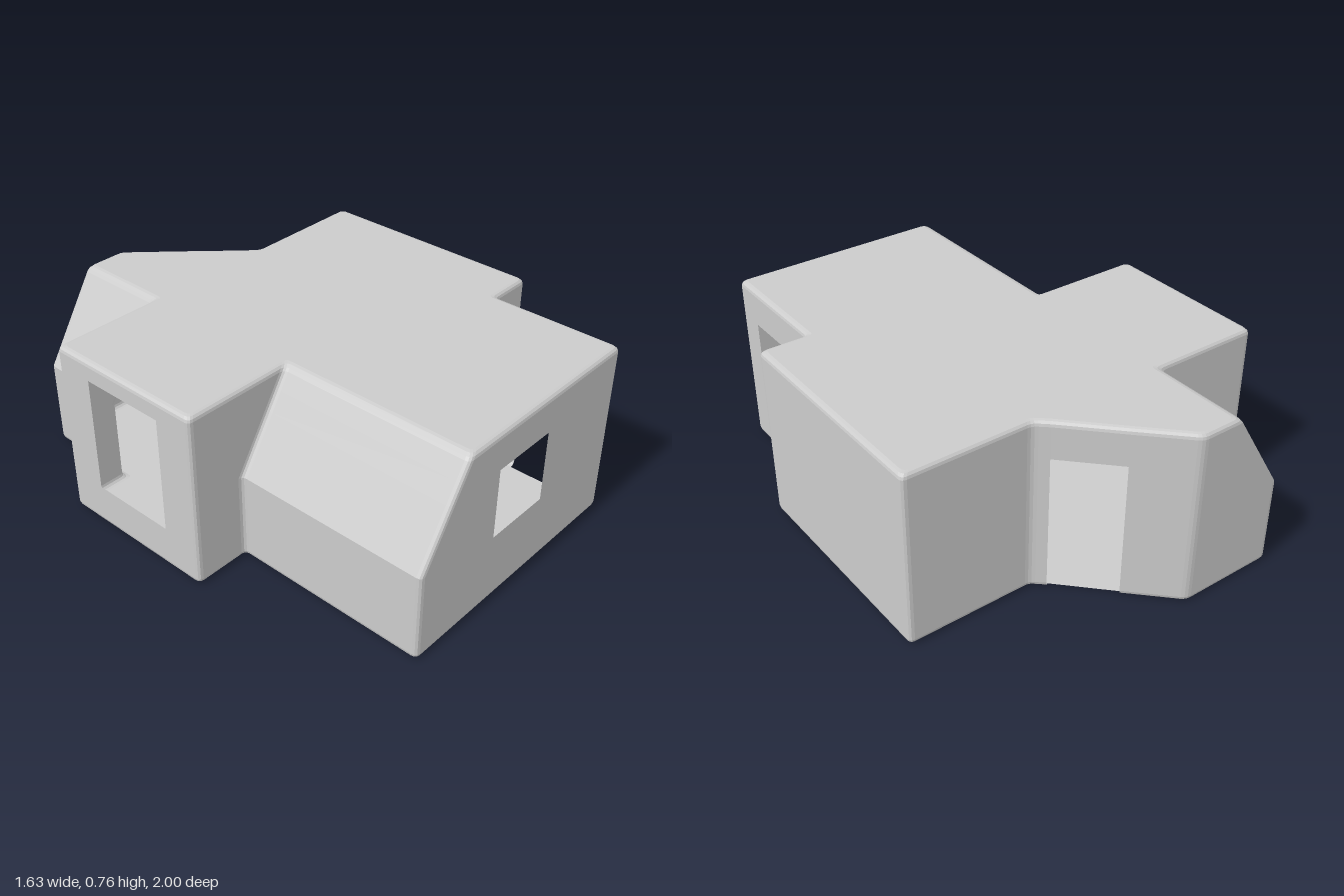
import * as THREE from 'three';

const H = 0.765;      // wall height
const R = 0.022;      // edge rounding
const KNEE = 0.38;    // height where the wings start to slope

// x of the wings' left wall, leaning inward above the knee
const wingX = (y) => (y < KNEE ? -0.575 : -0.575 + (0.245 * (y - KNEE)) / (H - KNEE));

// Openings: plan position of both jambs, then sill and head heights
const frontWindow = { a: [-0.15, 1], b: [0.15, 1], y0: 0.3, y1: 0.605 };
const sideDoor = { a: [0.61, 0.87], b: [0.61, 0.6], y0: 0, y1: 0.605 };
const backDoor = { a: [0.222, -0.62], b: [0.028, -0.82], y0: 0, y1: 0.605 };
const sideWindow = { a: [-0.82, -0.4], b: [-0.82, -0.02], y0: 0.18, y1: 0.68 };

// Plan corners at height y; a third entry is the opening in the wall that follows
function plan(y) {
  const w = wingX(y);
  return [
    [w, 1, frontWindow], [0.61, 1, sideDoor], [0.61, 0.43], [0.815, 0.43],
    [0.815, -0.575], [0.27, -0.575, backDoor], [-0.15, -1], [w, -1],
    [w, -0.575], [-0.82, -0.575, sideWindow], [-0.82, 0.155], [w, 0.155],
  ];
}

// One horizontal ring: plan moved inward by inset, corners rounded, jamb points added
function ring(y, inset) {
  const corners = plan(y);
  const n = corners.length;
  const pts = corners.map(([x, z]) => new THREE.Vector2(x, z));
  const dirs = pts.map((p, i) => pts[(i + 1) % n].clone().sub(p).normalize());
  const inward = dirs.map((d) => new THREE.Vector2(d.y, -d.x));
  const out = [];
  for (let i = 0; i < n; i++) {
    const j = (i + n - 1) % n;
    const miter = inward[i].clone().add(inward[j]).multiplyScalar(inset / (1 + inward[i].dot(inward[j])));
    const c = pts[i].clone().add(miter);
    const arc = new THREE.QuadraticBezierCurve(
      c.clone().addScaledVector(dirs[j], -R), c, c.clone().addScaledVector(dirs[i], R));
    arc.getPoints(3).forEach((p) => out.push({ p: new THREE.Vector3(p.x, y, p.y) }));
    const opening = corners[i][2];
    if (opening) {
      [opening.a, opening.b].forEach(([x, z], k) => out.push({
        p: new THREE.Vector3(x + inward[i].x * inset, y, z + inward[i].y * inset),
        opening: k === 0 ? opening : undefined,
      }));
    }
  }
  return out;
}

function toMesh(name, triangles, material) {
  const geometry = new THREE.BufferGeometry().setFromPoints(triangles);
  geometry.computeVertexNormals();
  const mesh = new THREE.Mesh(geometry, material);
  mesh.name = name;
  return mesh;
}

// Flat cap filling a ring
function cap(loop, up) {
  const contour = loop.map(({ p }) => new THREE.Vector2(p.x, -p.z));
  return THREE.ShapeUtils.triangulateShape(contour, []).flatMap(([a, b, c]) =>
    (up ? [a, b, c] : [a, c, b]).map((i) => loop[i].p));
}

export function createModel() {
  const material = new THREE.MeshStandardMaterial({
    color: 0xcccccc, flatShading: true, side: THREE.DoubleSide,
  });

  // Rings from the ground up, with rounded edges at floor and roof
  const round = [0, 1, 2, 3].map((k) => (k / 3) * (Math.PI / 2));
  const levels = [
    ...round.map((t) => [R * (1 - Math.cos(t)), R * (1 - Math.sin(t))]),
    ...[0.18, 0.3, KNEE, 0.605, 0.68].map((y) => [y, 0]),
    ...round.map((t) => [H - R + R * Math.sin(t), R * (1 - Math.cos(t))]),
  ];
  const rings = levels.map(([y, inset]) => ring(y, inset));

  // Thin walls between the rings, leaving the doors and windows open
  const walls = [];
  for (let l = 0; l < rings.length - 1; l++) {
    const lower = rings[l];
    const upper = rings[l + 1];
    const mid = (levels[l][0] + levels[l + 1][0]) / 2;
    for (let i = 0; i < lower.length; i++) {
      const o = lower[i].opening;
      if (o && mid > o.y0 && mid < o.y1) continue;
      const j = (i + 1) % lower.length;
      const [a, b, c, d] = [lower[i].p, lower[j].p, upper[j].p, upper[i].p];
      walls.push(a, b, c, a, c, d);
    }
  }

  const house = new THREE.Group();
  house.name = 'house';
  house.add(
    toMesh('walls', walls, material),
    toMesh('roof', cap(rings[rings.length - 1], true), material),
    toMesh('floor', cap(rings[0], false), material),
  );
  return house;
}
